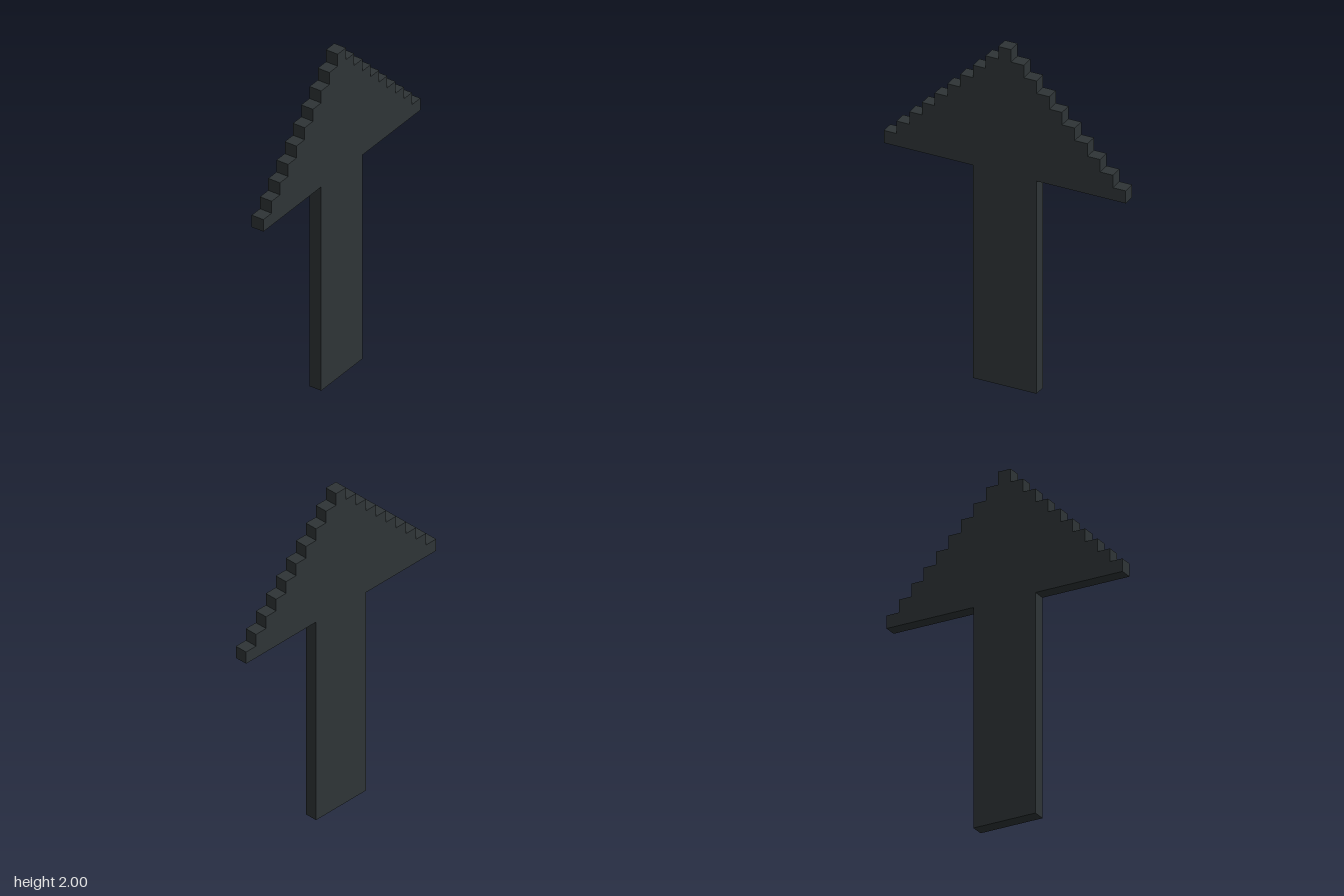
import * as THREE from 'three';

const U = 2 / 27; // one block
const HEAD_ROWS = 10;
const SHAFT_ROWS = 17;
const SHAFT_WIDTH = 5;

export function createModel() {
  const material = new THREE.MeshStandardMaterial({ color: 0x2e3436, flatShading: true });
  const arrow = new THREE.Group();
  arrow.name = 'arrow';

  // Straight shaft standing on the ground
  const shaft = new THREE.Mesh(
    new THREE.BoxGeometry(SHAFT_WIDTH * U, SHAFT_ROWS * U, U), material);
  shaft.name = 'shaft';
  shaft.position.y = SHAFT_ROWS * U / 2;
  arrow.add(shaft);

  // Stepped head: each row is one block narrower on both sides
  const rightSide = [];
  for (let row = 0; row < HEAD_ROWS; row++) {
    const x = (HEAD_ROWS - row - 0.5) * U;
    rightSide.push(new THREE.Vector2(x, row * U), new THREE.Vector2(x, (row + 1) * U));
  }
  const leftSide = rightSide.map((p) => new THREE.Vector2(-p.x, p.y)).reverse();
  const headGeometry = new THREE.ExtrudeGeometry(
    new THREE.Shape([...rightSide, ...leftSide]), { depth: U, bevelEnabled: false });
  headGeometry.translate(0, 0, -U / 2);
  const head = new THREE.Mesh(headGeometry, material);
  head.name = 'arrowHead';
  head.position.y = SHAFT_ROWS * U;
  arrow.add(head);

  return arrow;
}
